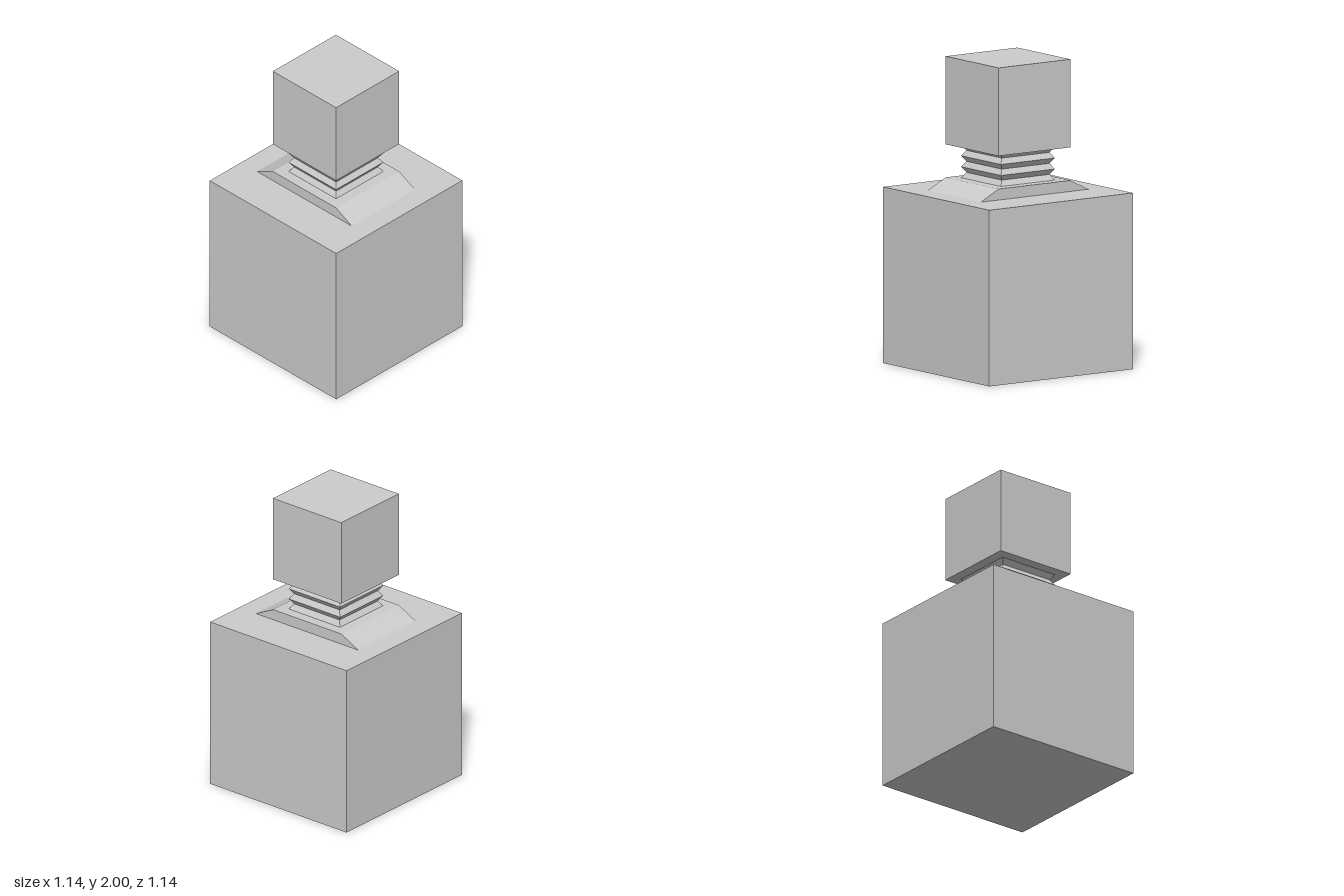
import * as THREE from 'three';

export function createModel() {
  const model = new THREE.Group();
  const material = new THREE.MeshStandardMaterial({ color: 0xcccccc, flatShading: true });
  const U = 1 / 7; // the whole model is laid out in sevenths

  const add = (name, geometry, y) => {
    const mesh = new THREE.Mesh(geometry, material);
    mesh.name = name;
    mesh.position.y = y;
    model.add(mesh);
  };

  // Cubic body and head
  add('body', new THREE.BoxGeometry(8 * U, 8 * U, 8 * U), 4 * U);
  add('head', new THREE.BoxGeometry(4 * U, 4 * U, 4 * U), 12 * U);

  // Shoulders: trapezoid sloping down to both sides
  const profile = new THREE.Shape([
    new THREE.Vector2(-3 * U, 0),
    new THREE.Vector2(3 * U, 0),
    new THREE.Vector2(2 * U, U / 2),
    new THREE.Vector2(-2 * U, U / 2),
  ]);
  const shoulders = new THREE.ExtrudeGeometry(profile, { depth: 4 * U, bevelEnabled: false });
  shoulders.translate(0, 0, -2 * U);
  add('shoulders', shoulders, 8 * U);

  // Square bellows neck: alternating wide and narrow rings
  const rings = [];
  for (let i = 0; i <= 6; i++) {
    const halfWidth = i % 2 ? 0.19 : 1.5 * U;
    rings.push(new THREE.Vector2(halfWidth * Math.SQRT2, i * U / 4));
  }
  const neck = new THREE.LatheGeometry(rings, 4, Math.PI / 4);
  add('neck', neck, 8.5 * U);

  return model;
}
